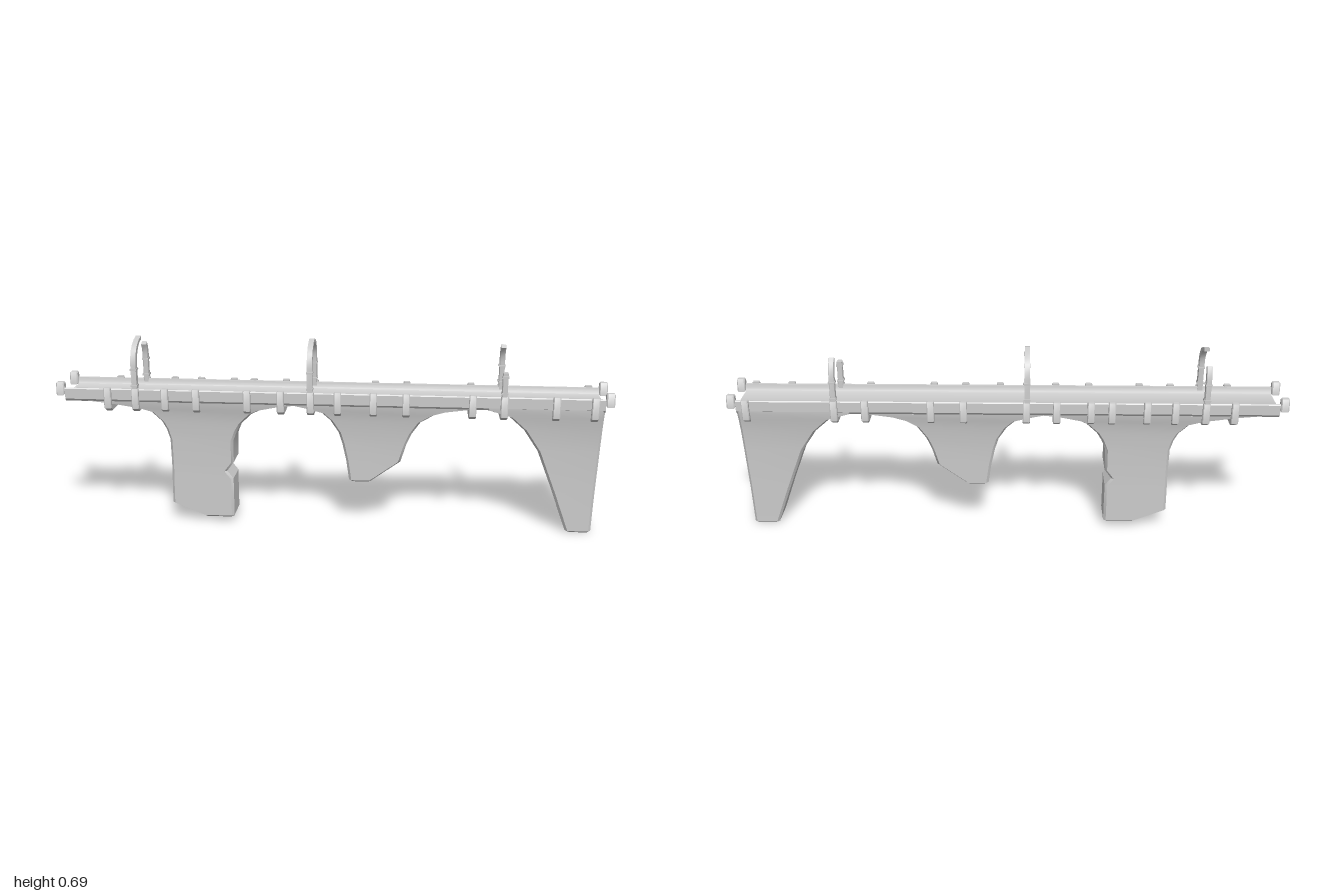
import * as THREE from 'three';
import { toCreasedNormals } from 'three/addons/utils/BufferGeometryUtils.js';

const material = new THREE.MeshStandardMaterial({ color: 0xcccccc });

function addMesh(parent, name, geometry, crease = 0.6) {
  const mesh = new THREE.Mesh(toCreasedNormals(geometry, crease), material);
  mesh.name = name;
  parent.add(mesh);
  return mesh;
}

// Extrudes a [z, y] outline along x, centred on the given x.
function slab(points, x, width, bevel = 0) {
  const shape = new THREE.Shape(points.map(([z, y]) => new THREE.Vector2(-z, y)));
  const depth = width - 2 * bevel;
  const g = new THREE.ExtrudeGeometry(shape, {
    depth, bevelEnabled: bevel > 0, bevelSize: bevel, bevelOffset: -bevel,
    bevelThickness: bevel, bevelSegments: 1,
  });
  g.translate(0, 0, -depth / 2);
  g.rotateY(Math.PI / 2);
  g.translate(x, 0, 0);
  return g;
}

// Half width of the masonry at a given height: narrow foot flaring into the deck.
const flare = [[0, 0.061], [0.2, 0.061], [0.32, 0.064], [0.39, 0.07], [0.43, 0.076], [0.45, 0.082], [0.47, 0.085]];
function halfWidth(y) {
  for (let i = 1; i < flare.length; i++) {
    const [y0, w0] = flare[i - 1], [y1, w1] = flare[i];
    if (y <= y1) return THREE.MathUtils.mapLinear(y, y0, y1, w0, w1);
  }
  return 0.085;
}

// Lofts a pier through chamfered rectangles; rows are [y, xLeftEdge, xRightEdge], top to bottom.
function pierGeometry(rows) {
  const pos = [], index = [], c = 0.009, n = 8;
  const [yb, lb, rb] = rows[rows.length - 1];
  const all = [...rows.slice(0, -1), [yb + 0.006, lb - 0.002, rb], [yb, lb + 0.005, rb - 0.005]];
  all.forEach(([y, l, r], i) => {
    const w = halfWidth(y) - (i === all.length - 1 ? 0.006 : 0);
    const ring = [[r, w - c], [r - c, w], [l + c, w], [l, w - c], [l, c - w], [l + c, -w], [r - c, -w], [r, c - w]];
    ring.forEach(([x, z]) => pos.push(x, y, z));
  });
  for (let i = 0; i < all.length - 1; i++) {
    for (let k = 0; k < n; k++) {
      const a = i * n + k, b = i * n + (k + 1) % n;
      index.push(a, b, a + n, b, b + n, a + n);
    }
  }
  const last = (all.length - 1) * n;
  for (let k = 1; k < n - 1; k++) index.push(last, last + k, last + k + 1);
  const g = new THREE.BufferGeometry();
  g.setAttribute('position', new THREE.Float32BufferAttribute(pos, 3));
  g.setIndex(index);
  g.computeVertexNormals();
  return g;
}

// Hoop side from foot to crown: outer z, outer y, inner z, inner y.
const hoopRows = [
  [0.096, 0.5, 0.073, 0.5], [0.096, 0.605, 0.073, 0.605], [0.09, 0.635, 0.07, 0.628],
  [0.078, 0.657, 0.06, 0.648], [0.06, 0.674, 0.046, 0.664], [0.03, 0.688, 0.025, 0.677],
  [0, 0.695, 0, 0.682],
];

function addHoopSide(parent, x, side, count) {
  const rows = hoopRows.slice(0, count);
  const outline = [
    ...rows.map(([z, y]) => [side * z, y]),
    ...rows.map(([, , z, y]) => [side * z, y]).reverse(),
  ];
  addMesh(parent, 'hoopPost', slab(outline, x, 0.019, count === 7 ? 0 : 0.002));
  for (const y of [0.53, 0.59]) {
    const collar = new THREE.BoxGeometry(0.024, 0.007, 0.029);
    collar.translate(x, y, side * 0.0845);
    addMesh(parent, 'hoopCollar', collar);
  }
}

export function createModel() {
  const model = new THREE.Group();
  model.name = 'brokenAqueduct';

  // Deck with a shallow trough between two raised rims
  const half = [[0.062, 0.489], [0.069, 0.493], [0.073, 0.502], [0.075, 0.514], [0.082, 0.515], [0.085, 0.511], [0.085, 0.474], [0.078, 0.465]];
  const section = [...half, ...half.map(([z, y]) => [-z, y]).reverse()];
  addMesh(model, 'deck', slab(section, 0, 1.94));

  // Notched pier, broken hanging pier and end pier
  addMesh(model, 'notchedPier', pierGeometry([
    [0.468, -0.9, -0.1], [0.46, -0.82, -0.176], [0.443, -0.71, -0.256], [0.427, -0.657, -0.287],
    [0.39, -0.62, -0.325], [0.36, -0.605, -0.343], [0.32, -0.594, -0.359], [0.235, -0.593, -0.36],
    [0.2, -0.593, -0.386], [0.17, -0.594, -0.363], [0.07, -0.595, -0.363], [0.018, -0.48, -0.363],
  ]));
  addMesh(model, 'hangingPier', pierGeometry([
    [0.468, -0.15, 0.52], [0.454, -0.085, 0.42], [0.438, -0.03, 0.37], [0.41, 0, 0.325],
    [0.363, 0.03, 0.293], [0.32, 0.043, 0.275], [0.256, 0.057, 0.256], [0.174, 0.07, 0.152],
  ]));
  addMesh(model, 'endPier', pierGeometry([
    [0.48, 0.55, 0.97], [0.465, 0.56, 0.97], [0.44, 0.64, 0.969], [0.39, 0.694, 0.968], [0.31, 0.747, 0.966],
    [0.15, 0.81, 0.96], [0, 0.865, 0.956],
  ]));

  // Ribs wrapping each side of the deck and meeting underneath
  const ribs = {
    '1': [-0.81, -0.708, -0.6, -0.486, -0.3, -0.178, -0.07, 0.027, 0.155, 0.272, 0.507, 0.618, 0.8, 0.934],
    '-1': [-0.81, -0.708, -0.6, -0.5, -0.375, -0.3, -0.178, -0.07, 0.155, 0.272, 0.507, 0.618, 0.934],
  };
  for (const side of [1, -1]) {
    const outline = [
      [0.08, 0.52], [0.095, 0.52], [0.098, 0.515], [0.098, 0.444], [0.078, 0.431],
      [0, 0.431], [0, 0.468], [0.08, 0.47],
    ].map(([z, y]) => [side * z, y]);
    for (const x of ribs[side]) addMesh(model, 'rib', slab(outline, x, 0.026, 0.003));
  }

  // One whole hoop and two broken ones: x, rows kept at front, rows kept at back
  for (const [x, front, back] of [[-0.708, 7, 4], [-0.072, 7, 7], [0.617, 2, 5]]) {
    const hoop = new THREE.Group();
    hoop.name = 'hoop';
    addHoopSide(hoop, x, 1, front);
    addHoopSide(hoop, x, -1, back);
    model.add(hoop);
  }

  // Tapered posts on the four corners
  for (const x of [-0.985, 0.985]) {
    for (const side of [1, -1]) {
      const outline = [[0.061, 0.488], [0.065, 0.531], [0.069, 0.536], [0.085, 0.536], [0.089, 0.531], [0.093, 0.488]]
        .map(([z, y]) => [side * z, y]);
      addMesh(model, 'cornerPost', slab(outline, x, 0.03, 0.004));
    }
  }
  return model;
}
